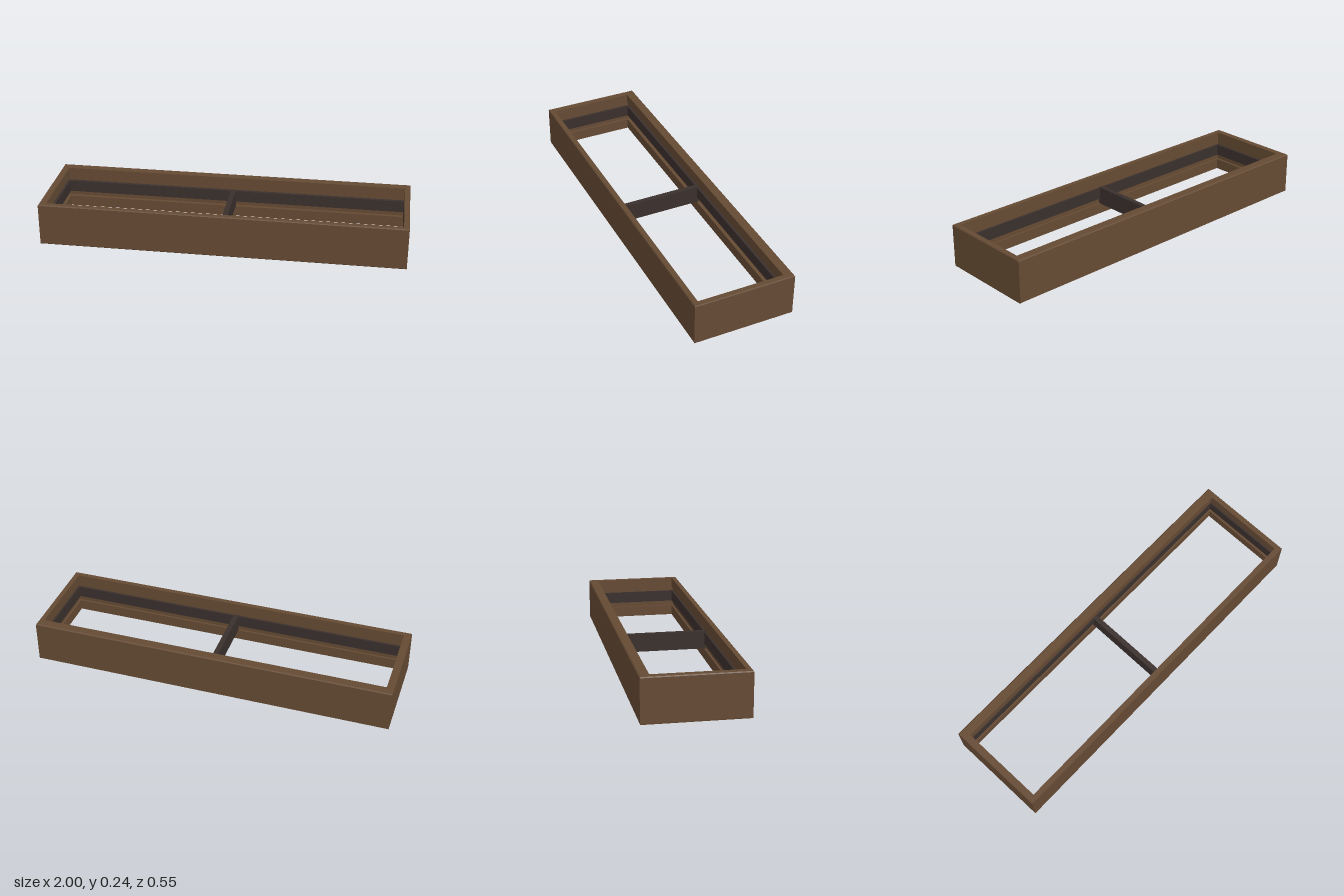
import * as THREE from 'three';

const H = 0.238, HALF_X = 1, HALF_Z = 0.277;
const THICK = { front: 0.03, back: 0.052, left: 0.03, right: 0.04 };

// Extrude a cross-section (fraction of wall thickness, height) and mitre both ends
function mitred(points, thick, length, startThick, endThick) {
  const shape = new THREE.Shape(points.map(([f, y]) => new THREE.Vector2(f * thick, y)));
  const geo = new THREE.ExtrudeGeometry(shape, { depth: 1, bevelEnabled: false });
  const p = geo.attributes.position;
  for (let i = 0; i < p.count; i++) {
    const f = p.getX(i) / thick;
    p.setZ(i, p.getZ(i) > 0.5 ? length / 2 - f * endThick : -length / 2 + f * startThick);
  }
  geo.computeVertexNormals();
  return geo;
}

export function createModel() {
  const wood = new THREE.MeshStandardMaterial({ color: 0x654a33 });
  wood.name = 'brown wood';
  const metal = new THREE.MeshStandardMaterial({ color: 0x3a302d });
  metal.name = 'dark rail';
  const model = new THREE.Group();
  model.name = 'frame';

  // Board with an upper and a lower lip and a shallow recess between them
  const board = (bottomEdge) => [
    [bottomEdge, 0], [1, 0], [1, 0.06], [0.6, 0.06], [0.6, 0.178], [1, 0.178],
    [1, H], [0.1, H], [0, H - 0.005], [0, 0.005],
  ];
  // Rail standing in the recess, flush with the lips
  const rail = [[0.55, 0.09], [0.98, 0.09], [0.98, 0.155], [0.55, 0.155]];

  // name, turn, position, length, neighbours at both ends, inset of the bottom edge
  const sides = [
    ['front', Math.PI / 2, [0, HALF_Z], 2 * HALF_X, 'right', 'left', 0.2],
    ['back', -Math.PI / 2, [0, -HALF_Z], 2 * HALF_X, 'left', 'right', 0.6],
    ['left', Math.PI, [HALF_X, 0], 2 * HALF_Z, 'front', 'back', 0.02],
    ['right', 0, [-HALF_X, 0], 2 * HALF_Z, 'back', 'front', 0.02],
  ];
  for (const [name, turn, [x, z], length, start, end, edge] of sides) {
    const side = new THREE.Group();
    side.name = name + 'Side';
    for (const [part, profile, mat] of [['Board', board(edge), wood], ['Rail', rail, metal]]) {
      const mesh = new THREE.Mesh(mitred(profile, THICK[name], length, THICK[start], THICK[end]), mat);
      mesh.name = name + part;
      side.add(mesh);
    }
    side.rotation.y = turn;
    side.position.set(x, 0, z);
    model.add(side);
  }

  // Cross beam joining the front and back rails
  const beam = new THREE.Mesh(new THREE.BoxGeometry(0.028, 0.1, 0.49), metal);
  beam.name = 'crossBeam';
  beam.position.set(0.001, 0.11, 0.01);
  model.add(beam);
  return model;
}
